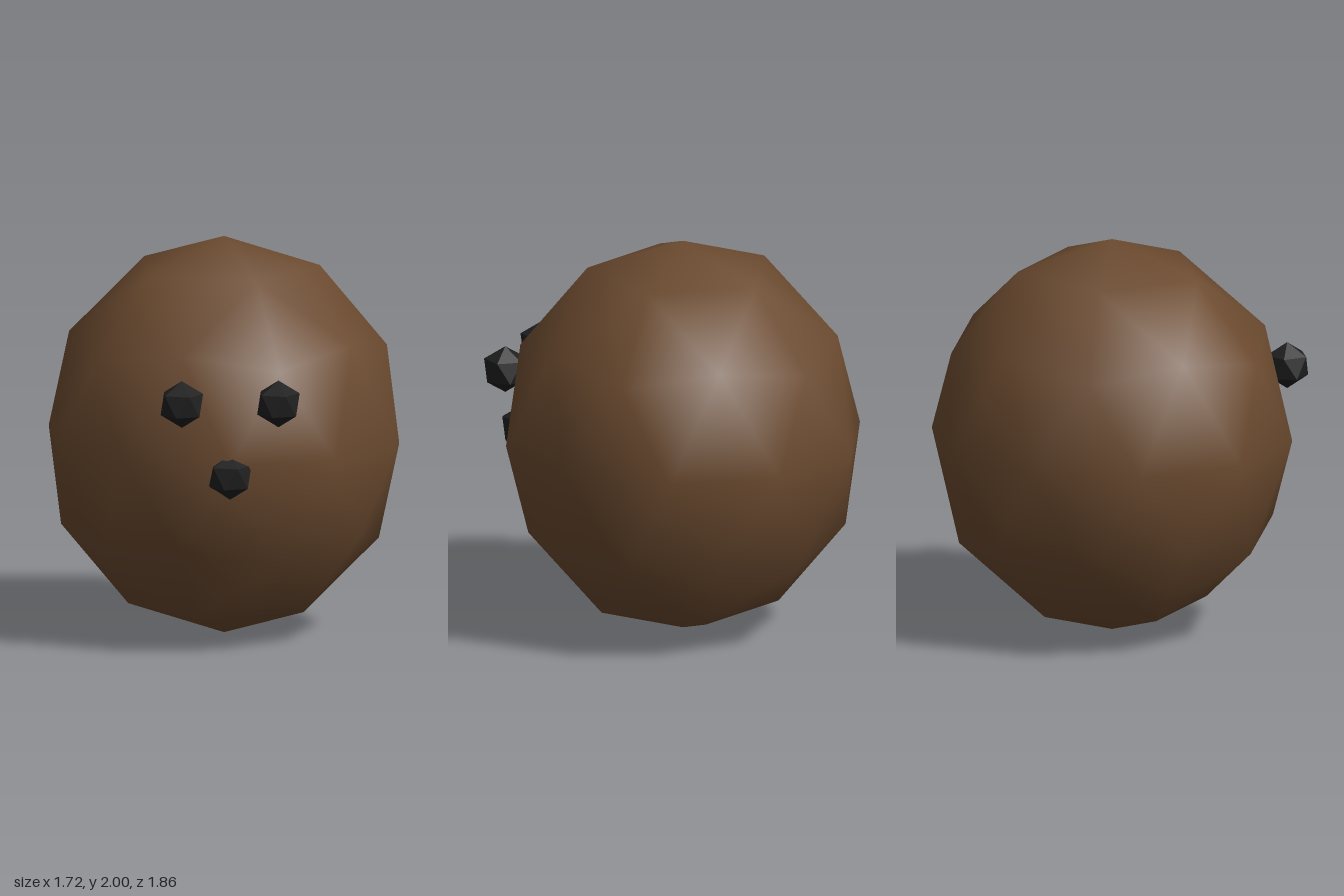
import * as THREE from 'three';

// Icosahedron standing on a corner; detail 0 is faceted, detail 1 is smooth.
function poleIcosphere(detail) {
  const h = 1 / Math.sqrt(5), r = 2 / Math.sqrt(5);
  const pos = [0, 1, 0, 0, -1, 0];
  for (let k = 0; k < 5; k++) {
    const a = (k * 2 * Math.PI) / 5, b = a + Math.PI / 5;
    pos.push(r * Math.cos(a), h, -r * Math.sin(a)); // upper ring
    pos.push(r * Math.cos(b), -h, -r * Math.sin(b)); // lower ring
  }
  const idx = [];
  for (let k = 0; k < 5; k++) {
    const n = (k + 1) % 5;
    const u = 2 + 2 * k, l = 3 + 2 * k, u2 = 2 + 2 * n, l2 = 3 + 2 * n;
    idx.push(0, u, u2, u, l, u2, l, l2, u2, 1, l2, l);
  }
  return new THREE.PolyhedronGeometry(pos, idx, 1, detail);
}

export function createModel() {
  const group = new THREE.Group();
  group.name = 'coconut';

  const shell = new THREE.MeshStandardMaterial({ color: 0x6b4a2f });
  shell.name = 'brown shell';
  const dark = new THREE.MeshStandardMaterial({ color: 0x1f1f20 });
  dark.name = 'dark spots';

  // Tall rounded shell
  const bodyGeo = poleIcosphere(1);
  bodyGeo.scale(0.905, 1, 0.905);
  const body = new THREE.Mesh(bodyGeo, shell);
  body.name = 'shell';
  body.position.set(0, 1, -0.025);
  group.add(body);

  // Two eyes and a mouth, sunk into the front
  const spotGeo = poleIcosphere(0);
  spotGeo.scale(0.118, 0.118, 0.118);
  const spots = [
    ['leftEye', 0.24, 1.307],
    ['rightEye', -0.24, 1.307],
    ['mouth', 0, 0.943],
  ];
  for (const [name, x, y] of spots) {
    const spot = new THREE.Mesh(spotGeo, dark);
    spot.name = name;
    spot.position.set(x, y, 0.83);
    group.add(spot);
  }
  return group;
}
